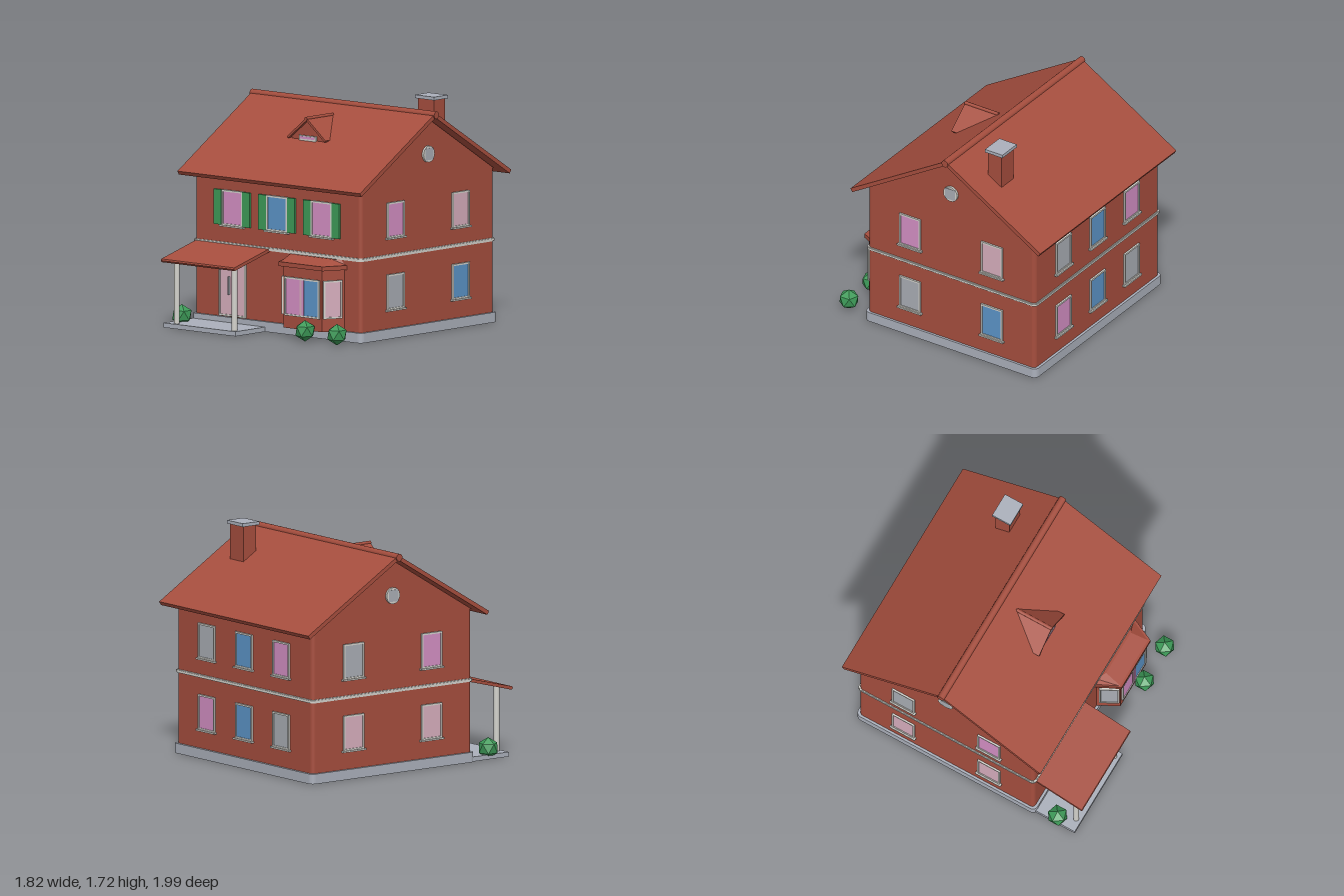
import * as THREE from 'three';

const mat = (name, color, side = THREE.FrontSide) => {
  const m = new THREE.MeshStandardMaterial({ color, side });
  m.name = name;
  return m;
};

export function createModel() {
  const brick = mat('brick red', 0xa64e3e);
  const stone = mat('stone grey', 0xabb0bb);
  const trim = mat('off-white trim', 0xd3d2cc);
  const pink = mat('pink curtain', 0xd48fc4);
  const blue = mat('blue curtain', 0x5c94c8);
  const rose = mat('pale rose curtain', 0xd7aebd);
  const grey = mat('grey glass', 0xa9adb4);
  const green = mat('green', 0x3d9a58);

  const house = new THREE.Group();
  house.name = 'house';

  const add = (name, geo, material, x = 0, y = 0, z = 0, parent = house) => {
    const m = new THREE.Mesh(geo, material);
    m.name = name;
    m.position.set(x, y, z);
    parent.add(m);
    return m;
  };
  const box = (name, material, w, h, d, x, y, z, parent) =>
    add(name, new THREE.BoxGeometry(w, h, d), material, x, y, z, parent);
  const poly = pts => new THREE.Shape(pts.map(p => new THREE.Vector2(p[0], p[1])));
  const extrude = (shape, depth) =>
    new THREE.ExtrudeGeometry(shape, { depth, bevelEnabled: false, curveSegments: 5 });

  // Side profile given as (z, y), centred on x and running along it
  const alongX = (pts, width) =>
    extrude(poly(pts), width).translate(0, 0, -width / 2).rotateY(-Math.PI / 2);
  // Ground plan raised upwards
  const raise = (shape, h) => extrude(shape, h).rotateX(-Math.PI / 2);
  const roundedPlan = (hx, hz, r) => {
    const s = new THREE.Shape();
    s.absarc(hx - r, hz - r, r, 0, Math.PI / 2);
    s.absarc(r - hx, hz - r, r, Math.PI / 2, Math.PI);
    s.absarc(r - hx, r - hz, r, Math.PI, Math.PI * 1.5);
    s.absarc(hx - r, r - hz, r, Math.PI * 1.5, Math.PI * 2);
    return s;
  };
  const ZC = -0.147; // depth centre of the main block

  // Main block
  add('plinth', raise(roundedPlan(0.838, 0.765, 0.04), 0.075), stone, 0, 0, ZC);
  add('walls', raise(roundedPlan(0.82, 0.745, 0.03), 1.11), brick, 0, 0.04, ZC);
  add('stringCourseLower', raise(roundedPlan(0.826, 0.752, 0.03), 0.026), trim, 0, 0.605, ZC);
  add('stringCourse', raise(roundedPlan(0.832, 0.758, 0.035), 0.016), trim, 0, 0.61, ZC);
  add('gables', alongX([[-0.745, 1.15], [0.745, 1.15], [0, 1.602]], 1.64), brick, 0, 0, ZC);

  // Main roof
  add('roof', alongX([[0.847, 1.135], [0, 1.647], [-0.847, 1.135], [-0.831, 1.108],
    [0, 1.612], [0.831, 1.108]], 1.8), brick, 0, 0, ZC);
  add('ridgeCap', new THREE.CylinderGeometry(0.028, 0.028, 1.82, 12).rotateZ(Math.PI / 2),
    brick, 0, 1.632, ZC);

  // Chimney
  box('chimney', brick, 0.16, 0.36, 0.12, 0.6, 1.52, -0.44);
  box('chimneyCap', stone, 0.19, 0.025, 0.155, 0.6, 1.712, -0.44);

  // Dormer
  add('dormerRoof', extrude(poly([[-0.19, 1.418], [-0.18, 1.405], [0, 1.55],
    [0.18, 1.405], [0.19, 1.418], [0, 1.573]]), 0.33), brick, 0, 0, -0.05);
  add('dormerRidge', new THREE.CylinderGeometry(0.014, 0.014, 0.3, 10).rotateX(Math.PI / 2),
    brick, 0, 1.566, 0.135);
  add('dormerWall', extrude(poly([[-0.16, 1.38], [0.16, 1.38], [0.16, 1.425], [0, 1.555],
    [-0.16, 1.425]]), 0.02), brick, 0, 0, 0.235);
  box('dormerWindowFrame', trim, 0.165, 0.04, 0.012, 0, 1.417, 0.26);
  box('dormerWindowGlass', pink, 0.14, 0.018, 0.004, 0, 1.42, 0.266);

  // Framed window facing +z, with an optional sill
  const windowAt = (name, glass, w, h, x, y, z, turn = 0, sill = true) => {
    const g = new THREE.Group();
    g.name = name;
    const [a, b, t] = [w / 2, h / 2, 0.013];
    const frame = poly([[-a, -b], [a, -b], [a, b], [-a, b]]);
    frame.holes.push(new THREE.Path([[t - a, t - b], [t - a, b - t], [a - t, b - t], [a - t, t - b]]
      .map(p => new THREE.Vector2(...p))));
    add('frame', extrude(frame, 0.016), trim, 0, 0, 0, g);
    const pane = (w - 2 * t) / glass.length;
    glass.forEach((m, i) =>
      box('glass', m, pane, h - 2 * t, 0.008, t - a + pane * (i + 0.5), 0, 0.005, g));
    if (sill) box('sill', trim, w + 0.025, 0.012, 0.028, 0, -b - 0.004, 0.013, g);
    g.position.set(x, y, z);
    g.rotation.y = turn;
    house.add(g);
    return g;
  };

  // Front upper windows with shutters
  [pink, blue, pink].forEach((m, i) => {
    const x = (i - 1) * 0.44;
    windowAt('frontWindow', [m], 0.205, 0.265, x, 0.89, 0.598);
    for (const s of [-1, 1]) box('shutter', green, 0.074, 0.262, 0.018, x + s * 0.141, 0.89, 0.606);
  });

  // Back windows, two rows
  [[grey, blue, pink], [pink, blue, grey]].forEach((row, r) => row.forEach((m, i) =>
    windowAt('backWindow', [m], 0.2, 0.265, 0.45 * (1 - i), r ? 0.348 : 0.885, -0.89, Math.PI)));

  // Side windows: [upper front, upper back, lower front, lower back]
  const sides = [[1, [pink, rose, grey, blue]], [-1, [pink, grey, rose, rose]]];
  for (const [s, panes] of sides) {
    panes.forEach((m, i) => windowAt('sideWindow', [m], 0.19, 0.265, s * 0.818,
      i < 2 ? 0.885 : 0.348, i % 2 ? -0.512 : 0.218, s * Math.PI / 2));
    add('roundWindowFrame', new THREE.CylinderGeometry(0.062, 0.062, 0.024, 16).rotateZ(Math.PI / 2),
      trim, s * 0.825, 1.335, ZC);
    box('roundWindowGlass', grey, 0.006, 0.088, 0.088, s * 0.837, 1.335, ZC);
  }

  // Front door
  windowAt('frontDoor', [rose, rose], 0.265, 0.45, -0.44, 0.305, 0.598, 0, false);
  box('doorMeetingStile', trim, 0.014, 0.42, 0.008, -0.44, 0.305, 0.606);
  for (const x of [-0.469, -0.411]) box('doorHandle', grey, 0.008, 0.135, 0.02, x, 0.31, 0.614);

  // Porch
  box('porchFloor', stone, 0.71, 0.035, 0.38, -0.465, 0.0175, 0.757);
  for (const x of [-0.725, -0.157])
    add('porchPost', new THREE.CylinderGeometry(0.021, 0.021, 0.49, 16), trim, x, 0.278, 0.905);
  add('porchRoof', alongX([[0.59, 0.6], [0.59, 0.624], [0.995, 0.52], [1.0, 0.508], [0.99, 0.495]], 0.72),
    brick, -0.44, 0, 0);

  // Bay window: plan mirrored about its own centre
  const bayPlan = (wide, narrow, front) =>
    poly([[-wide, -0.59], [-narrow, -front], [narrow, -front], [wide, -0.59]]);
  const bayX = 0.383;
  add('bayWalls', raise(bayPlan(0.278, 0.19, 0.755), 0.465), brick, bayX, 0.075, 0);
  add('bayEaves', raise(bayPlan(0.305, 0.215, 0.78), 0.033), brick, bayX, 0.535, 0);
  // Sloping bay roof, eaves rising to the wall
  const bayRoof = raise(bayPlan(0.295, 0.208, 0.773), 0.04);
  const p = bayRoof.attributes.position;
  for (let i = 0; i < p.count; i++)
    if (p.getY(i) > 0.02) p.setXYZ(i, p.getX(i) * 0.88, 0.04, p.getZ(i) > 0.7 ? 0.63 : 0.59);
  bayRoof.computeVertexNormals();
  add('bayRoof', bayRoof, brick, bayX, 0.565, 0);

  const bayFront = windowAt('bayFrontWindow', [pink, blue], 0.345, 0.29, bayX, 0.315, 0.753, 0, false);
  box('bayCurtainEdge', rose, 0.02, 0.264, 0.004, -0.012, 0, 0.01, bayFront);
  box('bayCurtainFold', pink, 0.02, 0.264, 0.006, 0.01, 0, 0.01, bayFront);
  const bayTurn = Math.atan2(0.165, 0.088);
  for (const s of [-1, 1])
    windowAt('baySideWindow', [s > 0 ? rose : grey], 0.15, 0.285, bayX + s * 0.229, 0.315, 0.682,
      s * bayTurn, false);

  // Shrubs, each with a corner pointing up
  const shrub = new THREE.IcosahedronGeometry(0.08, 0).rotateZ(Math.atan(2 / (1 + Math.sqrt(5))));
  for (const [x, z] of [[-0.785, 0.78], [0.455, 0.81], [0.765, 0.805]])
    add('shrub', shrub, green, x, 0.08, z);

  return house;
}
